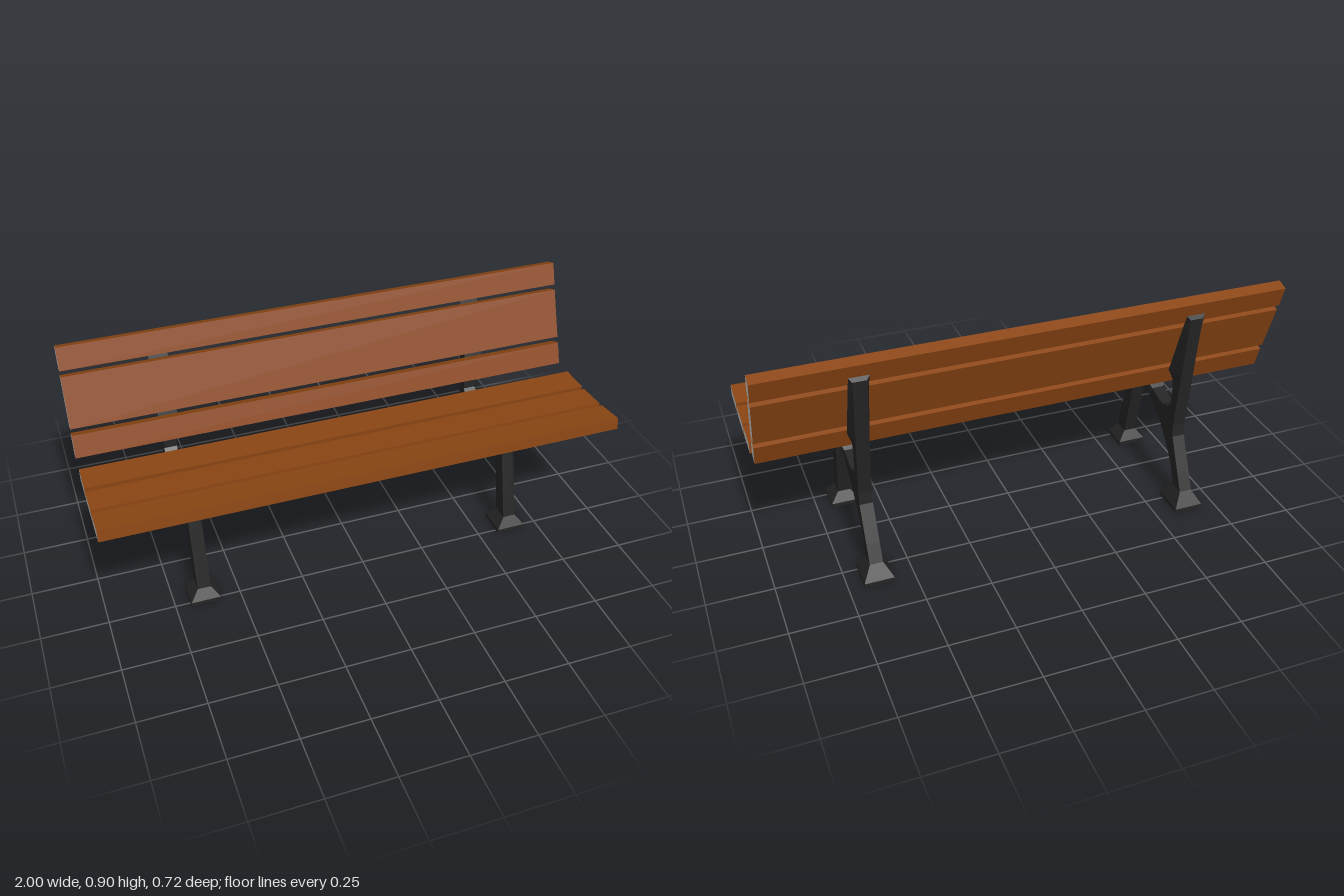
import * as THREE from 'three';

const wood = new THREE.MeshStandardMaterial({ color: 0x8b4513 });
const endGrain = new THREE.MeshStandardMaterial({ color: 0xcccccc });
const iron = new THREE.MeshStandardMaterial({ color: 0x242424, flatShading: true });

const W = 0.025; // half width of the iron bars

// Skins four-cornered sections: [zA, yA, zB, yB, half width at A, half width at B]
function loft(name, sections) {
  const rings = sections.map(([za, ya, zb, yb, wa = W, wb = wa]) => [
    [wa, ya, za], [-wa, ya, za], [-wb, yb, zb], [wb, yb, zb],
  ]);
  const pos = [];
  const quad = (a, b, c, d) => pos.push(...a, ...b, ...c, ...a, ...c, ...d);
  for (let i = 0; i < rings.length - 1; i++) {
    const lo = rings[i], hi = rings[i + 1];
    for (let j = 0; j < 4; j++) {
      const k = (j + 1) % 4;
      quad(lo[k], lo[j], hi[j], hi[k]);
    }
  }
  quad(...rings[0]);
  quad(...[...rings[rings.length - 1]].reverse());
  const g = new THREE.BufferGeometry();
  g.setAttribute('position', new THREE.Float32BufferAttribute(pos, 3));
  g.computeVertexNormals();
  const mesh = new THREE.Mesh(g, iron);
  mesh.name = name;
  return mesh;
}

// One cast-iron side frame
function createFrame() {
  const frame = new THREE.Group();

  // Front leg with flared foot
  frame.add(loft('frontLeg', [
    [0.27, 0, 0.157, 0, 0.057],
    [0.27, 0.015, 0.157, 0.015, 0.057],
    [0.245, 0.055, 0.18, 0.055],
    [0.173, 0.36, 0.122, 0.34],
    [0.18, 0.392, 0.12, 0.35],
  ]));

  // Seat support, flared at the top, arching back to the rear leg
  frame.add(loft('seatSupport', [
    [0.312, 0.472, 0.31, 0.457, 0.053],
    [0.23, 0.46, 0.18, 0.392, 0.053, W],
    [0.14, 0.457, 0.12, 0.35, 0.053, W],
    [0.08, 0.456, 0.08, 0.363, 0.053, W],
    [0.003, 0.456, 0.02, 0.363, 0.053, W],
    [-0.035, 0.39, -0.025, 0.345],
    [-0.125, 0.37, -0.13, 0.275],
  ]));

  // Rear leg continuing up into the back post
  frame.add(loft('rearLegAndBackPost', [
    [-0.23, 0, -0.36, 0, 0.057],
    [-0.23, 0.015, -0.36, 0.015, 0.057],
    [-0.26, 0.07, -0.325, 0.07],
    [-0.24, 0.14, -0.293, 0.14],
    [-0.19, 0.21, -0.26, 0.21],
    [-0.13, 0.275, -0.23, 0.275],
    [-0.125, 0.37, -0.225, 0.325],
    [-0.17, 0.385, -0.23, 0.37],
    [-0.193, 0.41, -0.235, 0.41],
    [-0.197, 0.48, -0.244, 0.48],
    [-0.19, 0.52, -0.249, 0.52],
    [-0.175, 0.555, -0.253, 0.555, 0.037, W],
    [-0.255, 0.78, -0.28, 0.78, 0.037, W],
    [-0.277, 0.835, -0.285, 0.82, 0.037, W],
  ]));
  return frame;
}

export function createModel() {
  const bench = new THREE.Group();
  bench.name = 'bench';

  // Side frames
  for (const [name, x] of [['leftFrame', 0.635], ['rightFrame', -0.635]]) {
    const frame = createFrame();
    frame.name = name;
    frame.position.x = x;
    bench.add(frame);
  }

  // Planks: name, z, y, height, depth, tilt in degrees
  const planks = [
    ['seatPlankFront', 0.301, 0.495, 0.046, 0.119, -7],
    ['seatPlankMiddle', 0.162, 0.483, 0.045, 0.12, -3],
    ['seatPlankRear', 0.023, 0.481, 0.046, 0.119, 0.6],
    ['backPlankLower', -0.144, 0.537, 0.087, 0.046, -18.5],
    ['backPlankMiddle', -0.2, 0.694, 0.197, 0.045, -19.5],
    ['backPlankTop', -0.254, 0.85, 0.088, 0.046, -18.5],
  ];
  for (const [name, z, y, h, d, tilt] of planks) {
    const plank = new THREE.Mesh(
      new THREE.BoxGeometry(2, h, d),
      [endGrain, endGrain, wood, wood, wood, wood],
    );
    plank.name = name;
    plank.position.set(0, y, z);
    plank.rotation.x = THREE.MathUtils.degToRad(tilt);
    bench.add(plank);
  }
  return bench;
}
